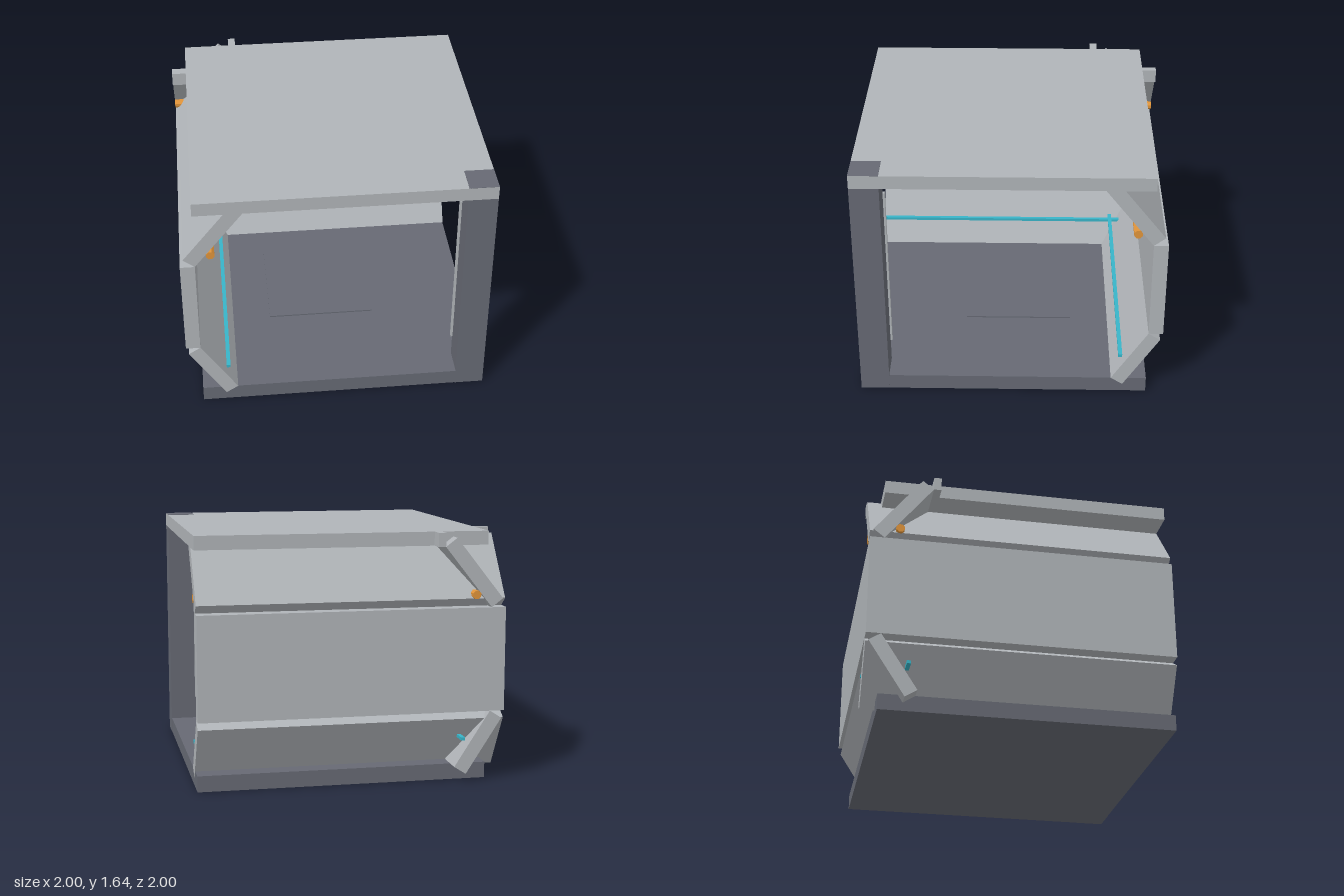
import * as THREE from 'three';

const mat = (name, color) => {
  const m = new THREE.MeshStandardMaterial({ color });
  m.name = name;
  return m;
};

export function createModel() {
  const light = mat('light grey', 0xb0b4b8);
  const dark = mat('dark grey', 0x666973);
  const orange = mat('orange', 0xe0943a);
  const cyan = mat('cyan', 0x38b4c8);
  const model = new THREE.Group();
  model.name = 'cornerRoom';

  // Box given by its minimum and maximum corners
  function box(parent, name, m, [x0, y0, z0], [x1, y1, z1]) {
    const mesh = new THREE.Mesh(new THREE.BoxGeometry(x1 - x0, y1 - y0, z1 - z0), m);
    mesh.position.set((x0 + x1) / 2, (y0 + y1) / 2, (z0 + z1) / 2);
    mesh.name = name;
    parent.add(mesh);
  }

  // Profile in x and y, run along z for the full length
  function panel(parent, name, points) {
    const shape = new THREE.Shape(points.map(([x, y]) => new THREE.Vector2(x, y)));
    const geo = new THREE.ExtrudeGeometry(shape, { depth: 2, bevelEnabled: false });
    geo.translate(0, 0, -1);
    const mesh = new THREE.Mesh(geo, light);
    mesh.name = name;
    parent.add(mesh);
  }

  // One wall of three folded panels with its light bars; cornerSide is the z sign of the shared corner
  function wall(name, cornerSide) {
    const g = new THREE.Group();
    g.name = name;
    panel(g, 'lowerPanel', [[-0.67, 0.105], [-0.905, 0.47], [-0.983, 0.42], [-0.748, 0.055]]);
    panel(g, 'middlePanel', [[-0.905, 0.47], [-0.905, 1.15], [-1, 1.15], [-1, 0.47]]);
    panel(g, 'upperPanel', [[-0.905, 1.15], [-0.594, 1.545], [-0.668, 1.602], [-0.979, 1.207]]);

    const bar = new THREE.Mesh(new THREE.CylinderGeometry(0.029, 0.029, 2, 8), orange);
    bar.geometry.rotateY(Math.PI / 8);
    bar.geometry.rotateX(Math.PI / 2);
    bar.material.flatShading = true;
    bar.position.set(-0.805, 1.232, 0);
    bar.name = 'upperLightBar';
    g.add(bar);
    box(g, 'lowerLightBar', cyan, [-0.74, 0.28, -1], [-0.714, 0.3, 1]);

    // Roof retainer sticking out past the corner
    const a = cornerSide * 1, b = cornerSide * 0.9;
    box(g, 'roofRetainer', light, [-0.594, 1.545, Math.min(a, b)], [-0.545, 1.635, Math.max(a, b)]);
    model.add(g);
    return g;
  }

  wall('sideWall', -1);
  wall('backWall', 1).rotation.y = -Math.PI / 2;

  // Floor and roof slabs with their inset plates
  box(model, 'floor', dark, [-0.905, 0, -0.905], [0.998, 0.105, 0.998]);
  box(model, 'floorPlate', dark, [-0.41, 0.1, -0.41], [0.32, 0.114, 0.32]);
  box(model, 'roof', light, [-0.905, 1.545, -0.905], [1, 1.635, 1]);
  box(model, 'ceilingPlate', light, [-0.305, 1.53, -0.305], [0.215, 1.55, 0.215]);

  // Open-corner pillar, its cap on the roof and the trim on its inner edge
  box(model, 'pillar', dark, [0.81, 0, 0.81], [1, 1.545, 1]);
  box(model, 'pillarCap', dark, [0.81, 1.633, 0.81], [1, 1.637, 1]);
  box(model, 'pillarTrim', light, [0.797, 0.265, 0.797], [0.823, 1.41, 0.823]);

  return model;
}
